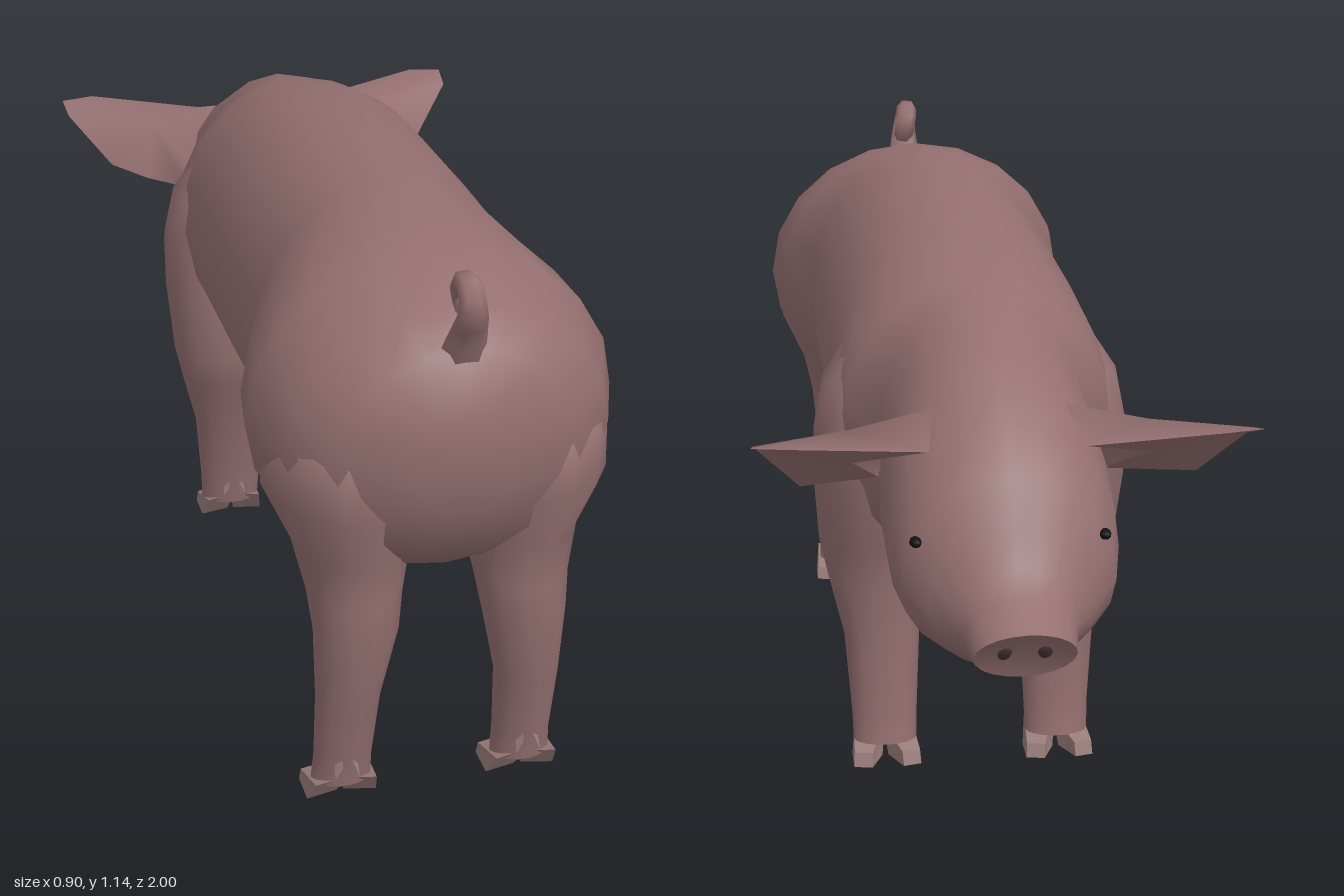
import * as THREE from 'three';

const skin = new THREE.MeshStandardMaterial({ color: 0x946f70 });
const skinThin = new THREE.MeshStandardMaterial({ color: 0x946f70, side: THREE.DoubleSide });
const horn = new THREE.MeshStandardMaterial({ color: 0x987c7a, flatShading: true });
const dark = new THREE.MeshStandardMaterial({ color: 0x4a3436 });
const black = new THREE.MeshStandardMaterial({ color: 0x111111 });

function add(parent, name, geometry, material) {
  const mesh = new THREE.Mesh(geometry, material);
  mesh.name = name;
  parent.add(mesh);
  return mesh;
}

function indexed(pos, index) {
  const g = new THREE.BufferGeometry();
  g.setAttribute('position', new THREE.Float32BufferAttribute(pos, 3));
  g.setIndex(index);
  g.computeVertexNormals();
  return g;
}

// Skins a list of rings; the first end closes smoothly, the last with a sharp rim.
function loft(rings, dish = 0) {
  const n = rings[0].length, pos = [], index = [];
  const push = (p) => pos.push(p.x, p.y, p.z);
  const centre = (ring) => ring.reduce((c, p) => c.add(p), new THREE.Vector3()).divideScalar(n);
  rings.forEach((ring) => ring.forEach(push));
  for (let i = 0; i < rings.length - 1; i++) {
    for (let j = 0; j < n; j++) {
      const a = i * n + j, b = i * n + (j + 1) % n;
      index.push(a, a + n, b, b, a + n, b + n);
    }
  }
  const last = rings[rings.length - 1], start = rings.length * n;
  push(centre(rings[0]));
  last.forEach(push);
  const end = centre(last);
  end.z += dish;
  push(end);
  for (let j = 0; j < n; j++) {
    const k = (j + 1) % n;
    index.push(start, j, k, start + 1 + n, start + 1 + k, start + 1 + j);
  }
  return indexed(pos, index);
}

// Upright ring: z at its top and bottom, height range, half width, height fraction of the widest point
function bodyRing([zTop, zBot, top, bot, half, wide = 0.5], n = 20) {
  const mid = bot + (top - bot) * wide;
  return Array.from({ length: n }, (_, j) => {
    const a = (j / n) * Math.PI * 2, s = Math.sin(a);
    const y = mid + s * (s > 0 ? top - mid : mid - bot);
    return new THREE.Vector3(half * Math.cos(a), y, zBot + (zTop - zBot) * (y - bot) / (top - bot));
  });
}

// Level ring: height, centre x and z, radii in x and z
function legRing([y, cx, cz, rx, rz], side, n = 14) {
  return Array.from({ length: n }, (_, j) => {
    const a = (j / n) * Math.PI * 2;
    return new THREE.Vector3(side * cx + rx * Math.cos(a), y, cz - rz * Math.sin(a));
  });
}

const bodyStations = [
  [0.97, 0.96, 0.88, 0.68, 0.09],
  [0.935, 0.91, 0.985, 0.575, 0.22],
  [0.86, 0.84, 1.03, 0.515, 0.29],
  [0.73, 0.73, 1.075, 0.485, 0.335],
  [0.62, 0.62, 1.085, 0.485, 0.32],
  [0.46, 0.46, 1.10, 0.468, 0.265],
  [0.2, 0.2, 1.085, 0.458, 0.27],
  [-0.12, -0.12, 1.06, 0.445, 0.272],
  [-0.27, -0.27, 1.025, 0.437, 0.28],
  [-0.35, -0.35, 1.005, 0.432, 0.262],
  [-0.42, -0.42, 0.985, 0.428, 0.205],
  [-0.53, -0.53, 0.95, 0.422, 0.207, 0.48],
  [-0.63, -0.62, 0.895, 0.411, 0.213, 0.46],
  [-0.72, -0.70, 0.835, 0.405, 0.21, 0.44],
  [-0.79, -0.77, 0.765, 0.407, 0.193, 0.42],
  [-0.84, -0.82, 0.69, 0.414, 0.15, 0.42],
  [-0.875, -0.86, 0.62, 0.425, 0.115, 0.45],
  [-0.93, -0.89, 0.585, 0.435, 0.1],
  [-1.0, -0.93, 0.55, 0.445, 0.09],
];

const frontLeg = [
  [0.92, 0.13, -0.24, 0.08, 0.07],
  [0.80, 0.178, -0.25, 0.112, 0.115],
  [0.70, 0.197, -0.26, 0.112, 0.125],
  [0.60, 0.2, -0.25, 0.11, 0.13],
  [0.46, 0.19, -0.225, 0.11, 0.107],
  [0.38, 0.185, -0.23, 0.098, 0.085],
  [0.26, 0.178, -0.25, 0.076, 0.06],
  [0.10, 0.176, -0.268, 0.066, 0.044],
  [0.04, 0.176, -0.278, 0.064, 0.042],
];

const hindLeg = [
  [0.90, 0.13, 0.73, 0.07, 0.1],
  [0.78, 0.165, 0.75, 0.145, 0.185],
  [0.67, 0.166, 0.75, 0.147, 0.185],
  [0.56, 0.155, 0.765, 0.108, 0.133],
  [0.47, 0.155, 0.795, 0.088, 0.1],
  [0.40, 0.157, 0.82, 0.079, 0.078],
  [0.25, 0.17, 0.815, 0.061, 0.056],
  [0.10, 0.173, 0.79, 0.056, 0.043],
  [0.04, 0.175, 0.782, 0.058, 0.041],
];

// Wedge-shaped toe, lower and narrower toward its tip at -z, undercut at the heel
function toeGeometry() {
  const g = new THREE.BoxGeometry(0.062, 0.056, 0.1), p = g.attributes.position;
  for (let i = 0; i < p.count; i++) {
    if (p.getZ(i) < 0) {
      p.setX(i, p.getX(i) * 0.6);
      if (p.getY(i) > 0) p.setXYZ(i, p.getX(i), 0, p.getZ(i) + 0.008);
    } else if (p.getY(i) < 0) p.setZ(i, 0.012);
  }
  return g;
}

function leg(parent, name, stations, side) {
  const group = new THREE.Group();
  group.name = name;
  parent.add(group);
  add(group, 'limb', loft(stations.map((s) => legRing(s, side))), skin);
  const [, cx, cz] = stations[stations.length - 1];
  for (const t of [-1, 1]) {
    const toe = add(group, 'toe', toeGeometry(), horn);
    toe.position.set(side * cx + t * 0.039, 0.028, cz - 0.008);
    toe.rotation.y = -t * 0.22;
    const claw = add(group, 'dewclaw', new THREE.ConeGeometry(0.018, 0.055, 4), horn);
    claw.position.set(side * cx + t * 0.014, 0.092, cz + 0.046);
    claw.rotation.set(Math.PI - 0.5, 0, -t * 0.35);
  }
}

// Triangles from a hub to a chain of points, mirrored for the right side
function fan(hub, chain, closed, side) {
  const index = [], n = chain.length;
  for (let i = 0; i < (closed ? n : n - 1); i++) {
    const a = i + 1, b = (i + 1) % n + 1;
    index.push(0, ...(side > 0 ? [a, b] : [b, a]));
  }
  return indexed([hub, ...chain].flatMap(([x, y, z]) => [x * side, y, z]), index);
}

// Funnel-shaped ear: a smooth back running into the neck and a hollow facing forward
function ear(parent, side) {
  const group = new THREE.Group();
  group.name = side > 0 ? 'leftEar' : 'rightEar';
  parent.add(group);
  const rim = [
    [0.14, 0.80, -0.755], [0.38, 0.83, -0.805], [0.45, 0.83, -0.79], [0.445, 0.815, -0.73],
    [0.36, 0.715, -0.66], [0.29, 0.70, -0.60], [0.21, 0.69, -0.55],
  ];
  const neckEdge = [[0.185, 0.74, -0.47], [0.12, 0.845, -0.64]];
  add(group, 'earBack', fan([0.27, 0.815, -0.655], [...rim, ...neckEdge], true, side), skinThin);
  add(group, 'earHollow', fan([0.27, 0.765, -0.69], [...rim].reverse(), false, side), skinThin);
}

// Curled tail: a tube thinned toward its tip
function tailGeometry() {
  const curve = new THREE.CatmullRomCurve3([
    [0, 0.95, 0.9], [0, 1.03, 0.945], [-0.004, 1.075, 0.977], [-0.008, 1.118, 0.975],
    [-0.006, 1.112, 0.93], [0.002, 1.075, 0.908], [0.004, 1.058, 0.93],
  ].map((p) => new THREE.Vector3(...p)));
  const rings = 16, sides = 6;
  const g = new THREE.TubeGeometry(curve, rings, 1, sides), p = g.attributes.position;
  const c = new THREE.Vector3(), v = new THREE.Vector3();
  for (let i = 0; i < p.count; i++) {
    const t = Math.floor(i / (sides + 1)) / rings;
    curve.getPointAt(t, c);
    v.fromBufferAttribute(p, i).sub(c).multiplyScalar(0.036 - 0.018 * Math.min(1, t * 1.8));
    p.setXYZ(i, c.x + v.x * 1.25, c.y + v.y, c.z + v.z);
  }
  g.computeVertexNormals();
  return g;
}

export function createModel() {
  const pig = new THREE.Group();
  pig.name = 'pig';

  add(pig, 'body', loft(bodyStations.map((s) => bodyRing(s)), 0.015), skin);

  // Belly fold in front of the hind legs
  add(pig, 'bellyFold', loft([
    [0.66, 0.66, 0.54, 0.49, 0.03], [0.55, 0.55, 0.54, 0.465, 0.05], [0.465, 0.465, 0.53, 0.44, 0.035],
    [0.45, 0.45, 0.52, 0.468, 0.03],
  ].map((s) => bodyRing(s, 8))), skin);

  for (const side of [1, -1]) {
    const label = side > 0 ? 'left' : 'right';
    leg(pig, label + 'FrontLeg', frontLeg, side);
    leg(pig, label + 'HindLeg', hindLeg, side);
    ear(pig, side);

    const eye = add(pig, label + 'Eye', new THREE.SphereGeometry(0.016, 10, 8), black);
    eye.position.set(side * 0.168, 0.648, -0.79);
    eye.scale.set(0.7, 0.6, 1);

    const nostril = add(pig, label + 'Nostril', new THREE.SphereGeometry(0.017, 10, 8), dark);
    nostril.position.set(side * 0.036, 0.503, -0.958);
    nostril.rotation.x = -0.59;
    nostril.scale.set(0.8, 1.2, 0.4);
  }

  add(pig, 'tail', tailGeometry(), skinThin);
  return pig;
}
